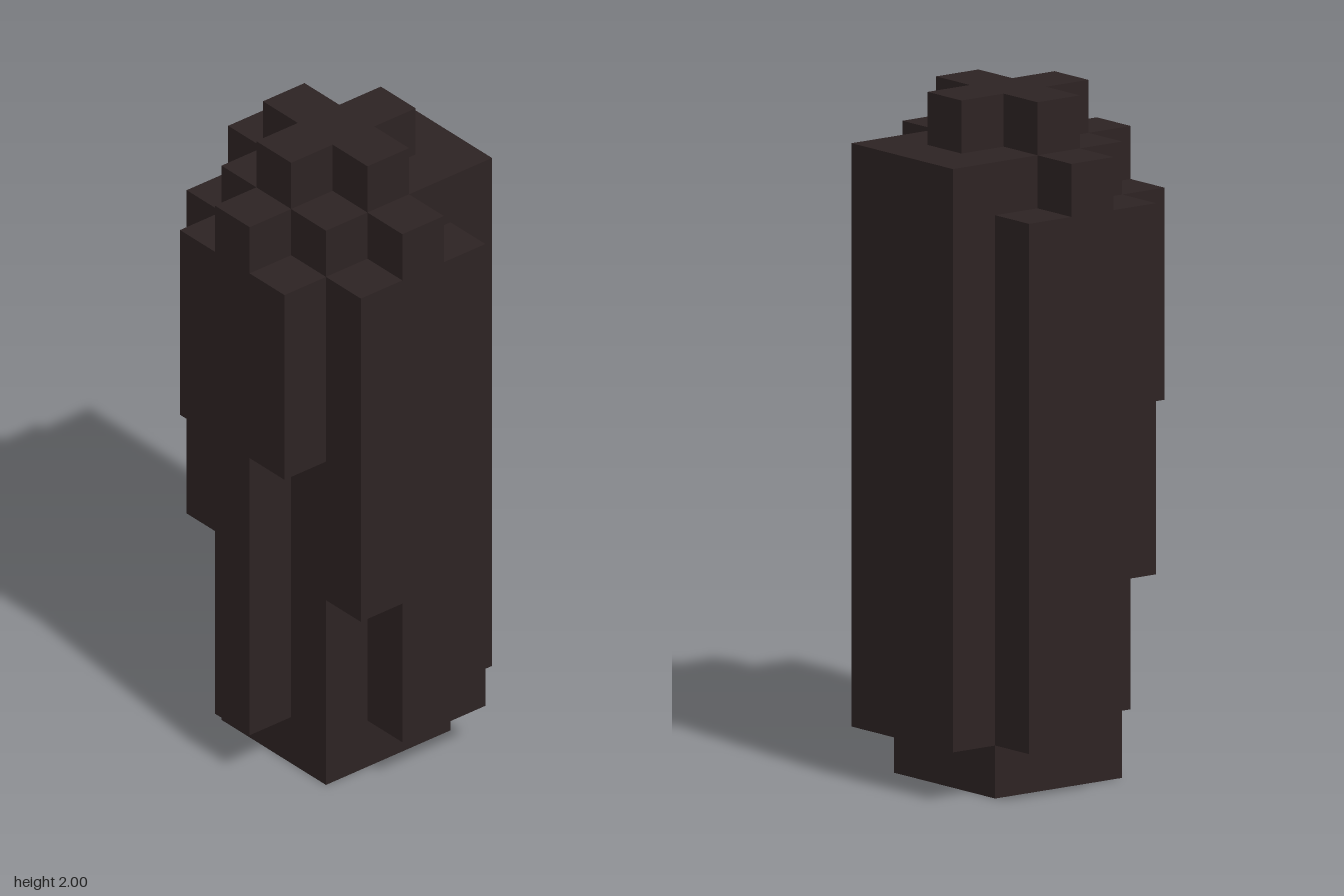
import * as THREE from 'three';

const U = 2 / 13; // one block; the model is 5 x 13 x 5 blocks

export function createModel() {
  const group = new THREE.Group();
  group.name = 'blockPillar';
  const darkBrown = new THREE.MeshStandardMaterial({ color: 0x2d2323 });
  darkBrown.name = 'darkBrown';

  // Box spanning whole blocks, given by its edges in block units
  function block(name, x0, x1, y0, y1, z0, z1) {
    const geo = new THREE.BoxGeometry((x1 - x0) * U, (y1 - y0) * U, (z1 - z0) * U);
    const mesh = new THREE.Mesh(geo, darkBrown);
    mesh.name = name;
    mesh.position.set((x0 + x1) / 2 * U, (y0 + y1) / 2 * U, (z0 + z1) / 2 * U);
    group.add(mesh);
  }

  // Central body with its foot
  block('core', -1.5, 1.5, 0, 12, -1.5, 1.5);

  // Plus-shaped crown
  block('crownBar', -1.5, 1.5, 12, 13, -0.5, 0.5);
  block('crownFront', -0.5, 0.5, 12, 13, 0.5, 1.5);
  block('crownBack', -0.5, 0.5, 12, 13, -1.5, -0.5);

  // Full-height back slab
  block('backSlab', -1.5, 1.5, 1, 12, -2.5, -1.5);

  // Front panel with a narrow strip below and a raised tip
  block('frontPanel', -1.5, 1.5, 7, 11, 1.5, 2.5);
  block('frontStrip', -0.5, 0.5, 1, 7, 1.5, 2.5);
  block('frontTip', -0.5, 0.5, 11, 12, 1.5, 2.5);

  // Side slabs, cut shorter at the front edge
  for (const [side, x0] of [['left', 1.5], ['right', -2.5]]) {
    block(side + 'Slab', x0, x0 + 1, 1, 11, -1.5, 0.5);
    block(side + 'FrontLock', x0, x0 + 1, 4, 11, 0.5, 1.5);
    block(side + 'Tip', x0, x0 + 1, 11, 12, -0.5, 0.5);
  }
  return group;
}
